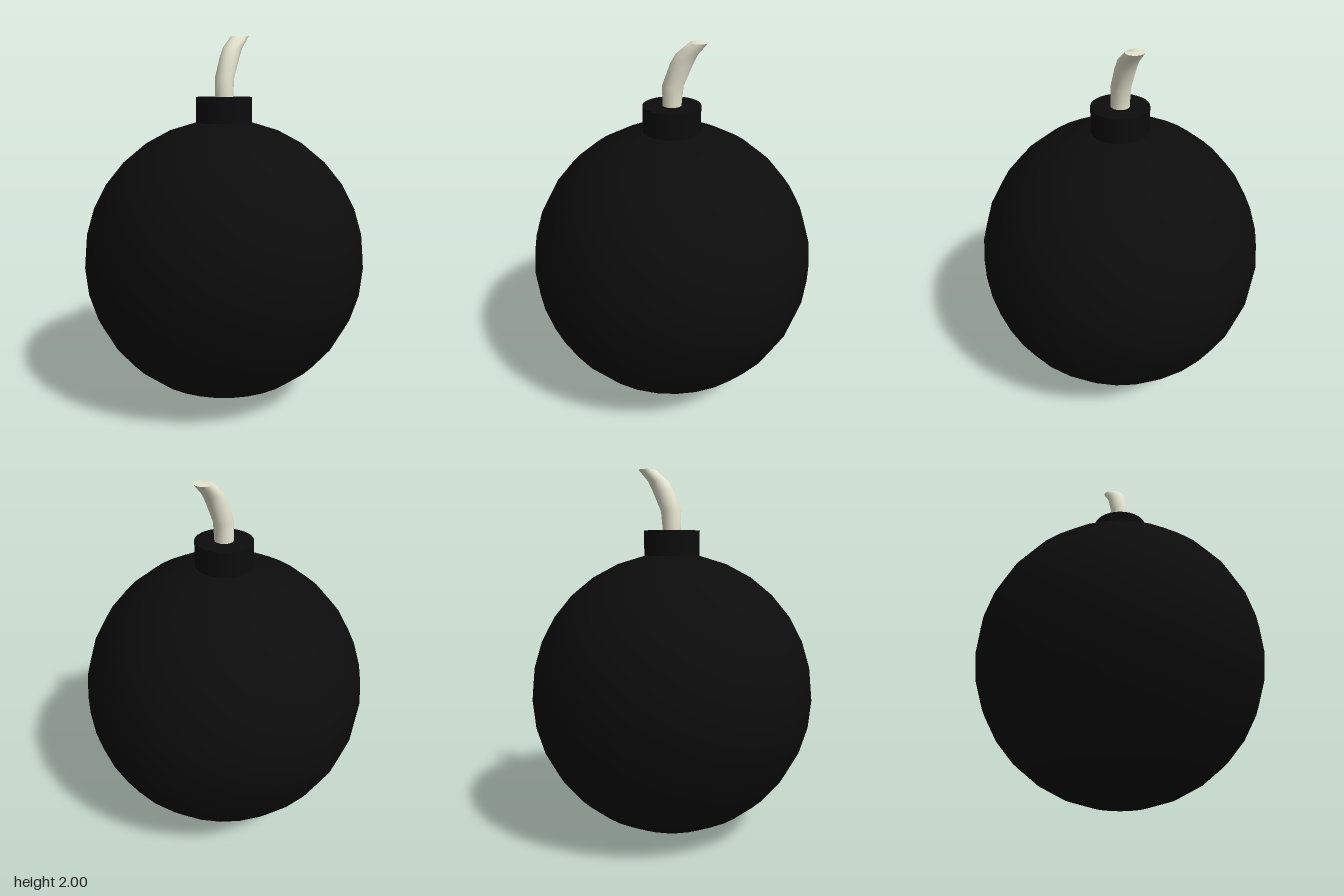
import * as THREE from 'three';
import { toCreasedNormals } from 'three/addons/utils/BufferGeometryUtils.js';

const black = new THREE.MeshStandardMaterial({ color: 0x0c0c0c });
const cream = new THREE.MeshStandardMaterial({ color: 0xe6e5d0 });

// Horizontal slices of the fuse, bottom to top: [height, centre x, half width in x]
const FUSE = [
  [1.60, 0.0, 0.05],
  [1.68, 0.0, 0.05],
  [1.78, 0.005, 0.055],
  [1.89, 0.048, 0.058],
  [1.94, 0.074, 0.056],
  [2.00, 0.135, 0.046],
];

// Bends a unit cylinder so that each of its rows becomes one slice
function fuseGeometry() {
  const rows = FUSE.length - 1;
  const geometry = new THREE.CylinderGeometry(1, 1, 1, 16, rows);
  const p = geometry.attributes.position;
  for (let i = 0; i < p.count; i++) {
    const [y, x, w] = FUSE[Math.round((p.getY(i) + 0.5) * rows)];
    p.setXYZ(i, x + p.getX(i) * w, y, p.getZ(i) * 0.05);
  }
  return toCreasedNormals(geometry, 0.8);
}

export function createModel() {
  const group = new THREE.Group();
  const add = (name, geometry, material, y = 0) => {
    const mesh = new THREE.Mesh(geometry, material);
    mesh.name = name;
    mesh.position.y = y;
    group.add(mesh);
  };

  // Round body
  add('body', new THREE.SphereGeometry(0.778, 32, 16), black, 0.778);
  // Short neck, sunk into the top of the body
  add('neck', new THREE.CylinderGeometry(0.152, 0.152, 0.2, 32), black, 1.577);
  // Bent fuse with a level cut end
  add('fuse', fuseGeometry(), cream);

  return group;
}
